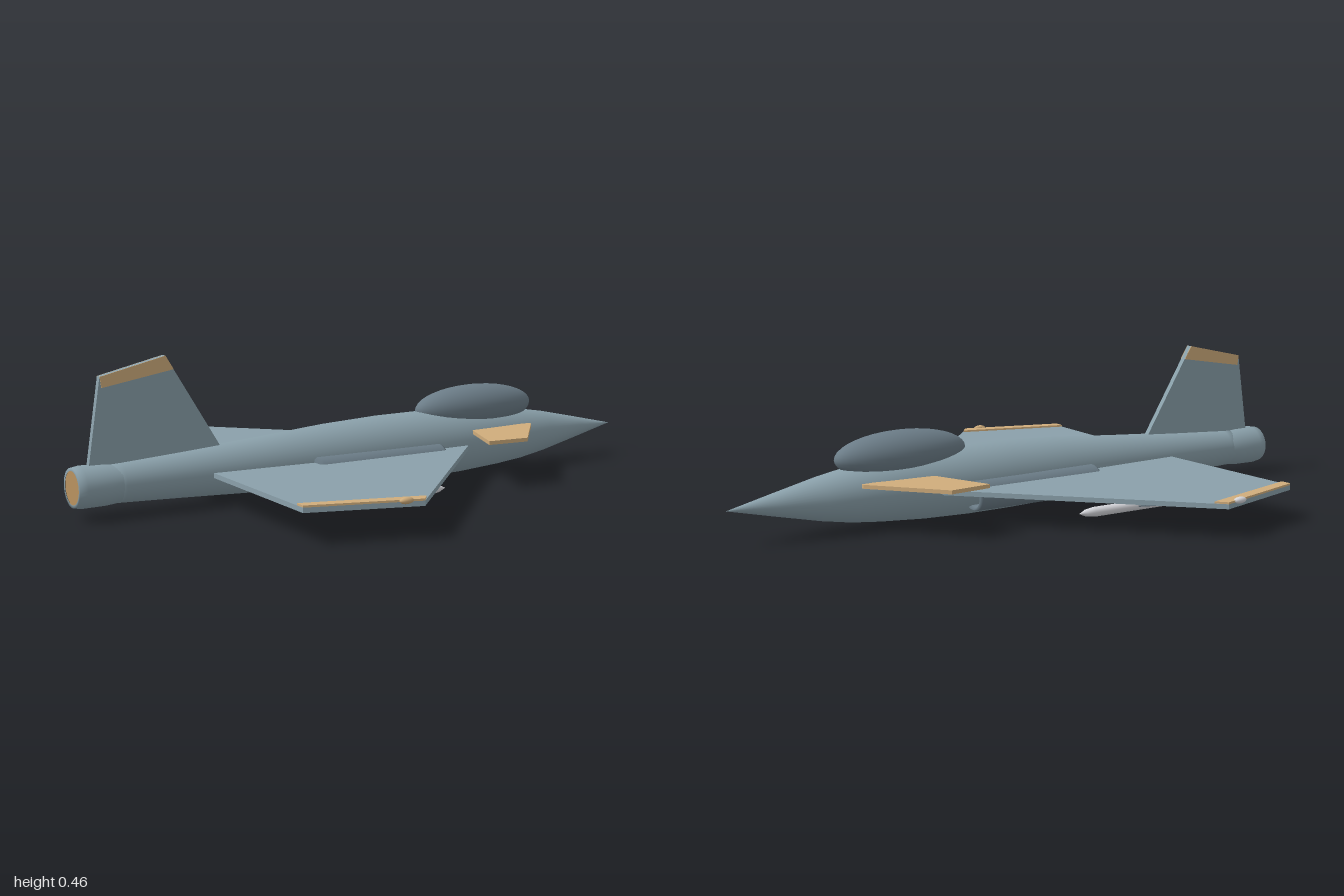
import * as THREE from 'three';

const mat = (name, color, extra = {}) => {
  const m = new THREE.MeshStandardMaterial({ color, ...extra });
  m.name = name;
  return m;
};

export function createModel() {
  const model = new THREE.Group();
  model.name = 'jet';
  const body = mat('blueGrey', 0x8aa0aa);
  const dark = mat('darkBlueGrey', 0x6b7c87);
  const gold = mat('sandGold', 0xd0ad7c);
  const white = mat('paleGrey', 0xd6d7dc);

  const add = (name, geo, material, x = 0, y = 0, z = 0, parent = model) => {
    const m = new THREE.Mesh(geo, material);
    m.name = name;
    m.position.set(x, y, z);
    parent.add(m);
    return m;
  };
  // Lathe around the x axis from [x, radius] pairs, tail to nose
  const lathe = (pts, seg = 32) =>
    new THREE.LatheGeometry(pts.map(([x, r]) => new THREE.Vector2(r, x)), seg).rotateZ(-Math.PI / 2);
  const slab = (pts, depth) => new THREE.ExtrudeGeometry(
    new THREE.Shape(pts.map(([x, y]) => new THREE.Vector2(x, y))), { depth, bevelEnabled: false });
  // Horizontal plate from [x, z] corners, rising from y = 0
  const plate = (pts, depth, side) =>
    slab(pts.map(([x, z]) => [x, -z * side]), depth).rotateX(-Math.PI / 2);

  // Fuselage, its axis dropping slightly towards the tail
  const hull = lathe([
    [-0.9, 0], [-0.9, 0.059], [-0.85, 0.06], [-0.65, 0.07], [-0.4, 0.084], [-0.15, 0.1], [0.05, 0.107],
    [0.2, 0.108], [0.35, 0.104], [0.5, 0.094], [0.6, 0.084], [0.7, 0.067], [0.85, 0.034], [1, 0],
  ], 40).scale(1, 1, 0.95);
  const p = hull.attributes.position;
  for (let i = 0; i < p.count; i++) p.setY(i, p.getY(i) + Math.min(0, p.getX(i)) * 0.013);
  add('fuselage', hull, body, 0, 0.109, 0);

  // Exhaust nozzle and its glowing face
  add('nozzle', lathe([[-1, 0.05], [-1, 0.059], [-0.975, 0.063], [-0.9, 0.062], [-0.86, 0.058]]), body, 0, 0.097, 0);
  add('nozzleFace', lathe([[-0.998, 0], [-0.998, 0.052]].reverse()).rotateX(0), mat('exhaustGold', 0xb8925f, { side: THREE.DoubleSide }), 0, 0.097, 0);

  // Canopy
  add('canopy', new THREE.SphereGeometry(1, 36, 20).scale(0.226, 0.072, 0.074), dark, 0.42, 0.217, 0);

  // Vertical fin with painted tip
  add('fin', slab([[-0.955, 0.12], [-0.91, 0.415], [-0.7, 0.462], [-0.5, 0.14]], 0.018), body, 0, 0, -0.009);
  const band = [[-0.91, 0.415], [-0.7, 0.462], [-0.674, 0.42], [-0.905, 0.382]];
  for (const z of [-0.011, 0.009]) add('finTipPaint', slab(band, 0.002), gold, 0, 0, z);

  for (const s of [1, -1]) {
    const half = new THREE.Group();
    half.name = s > 0 ? 'leftHalf' : 'rightHalf';
    model.add(half);

    // Wing with painted tip and tip light
    add('wing', plate([[-0.575, 0.03], [-0.596, 0.626], [-0.265, 0.727], [0.35, 0.08], [0.35, 0.03]], 0.015, s),
      body, 0, 0.093, 0, half);
    add('wingTipPaint', plate([[-0.596, 0.626], [-0.265, 0.727], [-0.238, 0.694], [-0.594, 0.59]], 0.007, s),
      gold, 0, 0.107, 0, half);
    add('tipLight', new THREE.SphereGeometry(1, 16, 10).scale(0.023, 0.01, 0.011),
      s > 0 ? gold : white, -0.318, 0.112, s * 0.714, half);

    // Canard
    add('canard', plate([[0.37, 0.06], [0.35, 0.1], [0.28, 0.282], [0.42, 0.295], [0.596, 0.085], [0.596, 0.075]], 0.012, s),
      gold, 0, 0.142, 0, half);

    // Air intake with a recessed mouth
    add('intake', lathe([[-0.24, 0], [-0.24, 0.042], [-0.23, 0.048], [0.215, 0.048], [0.225, 0.043], [0.215, 0.036], [0.18, 0.034], [0.18, 0]]),
      dark, 0, 0.077, s * 0.096, half);

    // Missile with flat tail fins
    const missile = new THREE.Group();
    missile.name = 'missile';
    missile.position.set(0, 0.053, s * 0.394);
    half.add(missile);
    add('missileBody', lathe([[-0.34, 0], [-0.335, 0.01], [-0.29, 0.015], [-0.02, 0.015], [0.01, 0.011], [0.035, 0]], 20),
      white, 0, 0, 0, missile);
    add('missileFins', plate([[-0.33, -0.04], [-0.33, 0.04], [-0.25, 0.04], [-0.17, 0.012], [-0.17, -0.012], [-0.25, -0.04]], 0.004, 1),
      dark, 0, -0.002, 0, missile);
  }
  return model;
}
